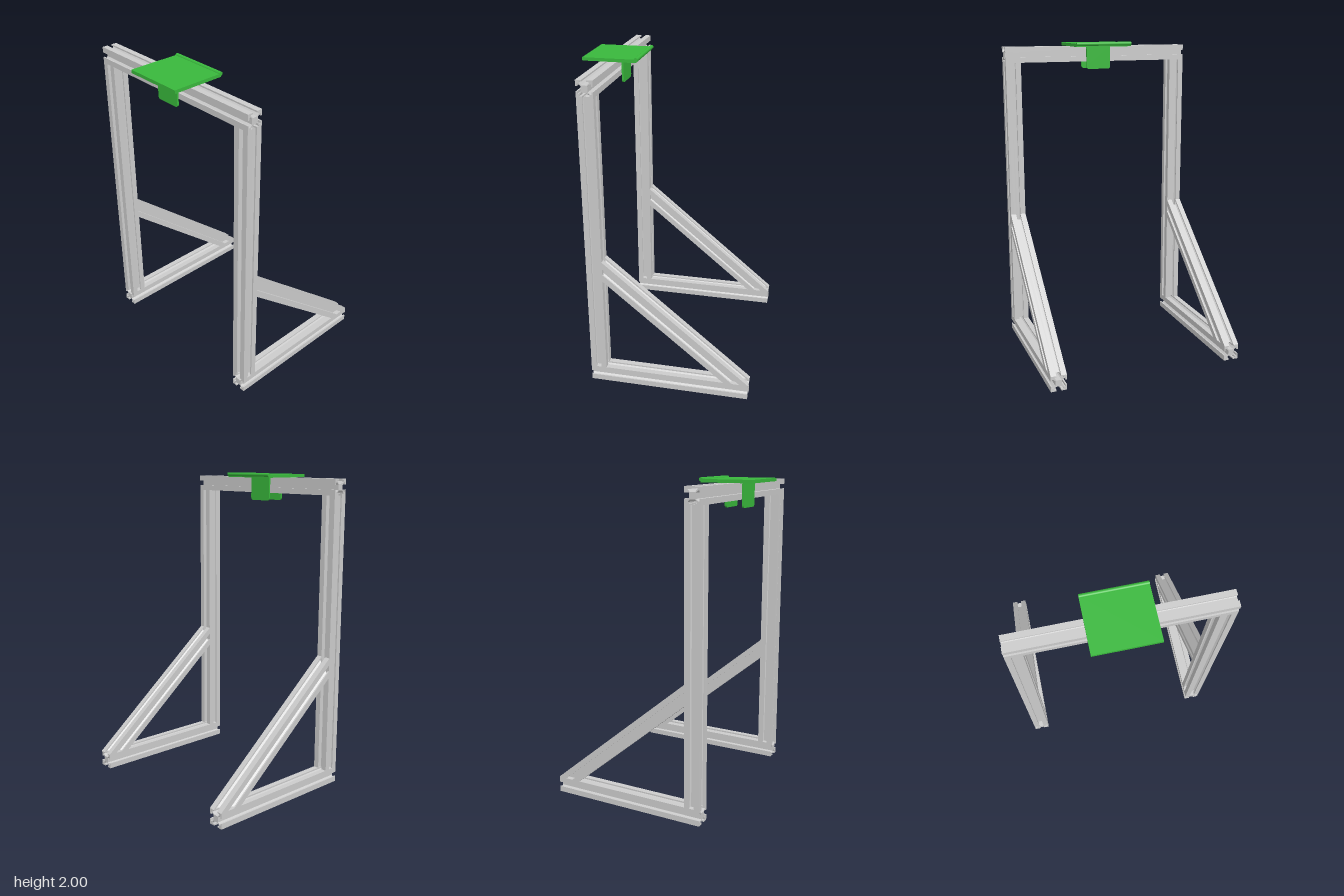
import * as THREE from 'three';

const grey = new THREE.MeshStandardMaterial({ color: 0xcccccc });
const green = new THREE.MeshStandardMaterial({ color: 0x39b83c });

// Square T-slot section, 0.1 wide: one quarter outline repeated four times
function slotSection() {
  const quarter = [
    [0.05, -0.05], [0.05, -0.015], [0.041, -0.015], [0.041, -0.029], [0.034, -0.029], [0.02, -0.016],
    [0.02, 0.016], [0.034, 0.029], [0.041, 0.029], [0.041, 0.015], [0.05, 0.015],
  ];
  const points = [];
  for (let i = 0; i < 4; i++) {
    const c = [1, 0, -1, 0][i], s = [0, 1, 0, -1][i];
    for (const [x, y] of quarter) points.push(new THREE.Vector2(x * c - y * s, x * s + y * c));
  }
  return new THREE.Shape(points);
}

// Slotted bar between two points; cut0 and cut1 slope its end faces for mitres
function bar(name, from, to, side, cut0 = 0, cut1 = 0) {
  const a = new THREE.Vector3(...from), b = new THREE.Vector3(...to);
  const length = a.distanceTo(b);
  const geo = new THREE.ExtrudeGeometry(slotSection(), { depth: length, bevelEnabled: false });
  const p = geo.attributes.position;
  for (let i = 0; i < p.count; i++) {
    const end = p.getZ(i) > length / 2;
    p.setZ(i, p.getZ(i) + p.getX(i) * (end ? cut1 : cut0));
  }
  const d = b.clone().sub(a).normalize();
  const v = new THREE.Vector3(...side);
  const u = v.clone().cross(d);
  geo.applyMatrix4(new THREE.Matrix4().makeBasis(u, v, d).setPosition(a));
  geo.computeVertexNormals();
  const mesh = new THREE.Mesh(geo, grey);
  mesh.name = name;
  return mesh;
}

// Base, post and mitred brace of one side
function sideFrame(name, z) {
  const g = new THREE.Group();
  g.name = name;
  const side = [0, 0, 1];
  const slope = 0.695 / 0.832;
  g.add(
    bar('baseRail', [-0.45, 0.05, z], [0.557, 0.05, z], side),
    bar('post', [-0.4, 0.1, z], [-0.4, 1.87, z], side),
    bar('diagonalBrace', [-0.35, 0.795, z], [0.482, 0.1, z], side, -slope, 1 / slope),
  );
  return g;
}

// Clip-on tray: plate with a rounded lip and two legs gripping the beam
function tray() {
  const g = new THREE.Group();
  g.name = 'tray';
  const add = (name, geo, x, y, z) => {
    const m = new THREE.Mesh(geo, green);
    m.name = name;
    m.position.set(x, y, z);
    g.add(m);
    return m;
  };
  add('trayPlate', new THREE.BoxGeometry(0.33, 0.02, 0.38), -0.395, 1.98, 0);
  add('trayLip', new THREE.CylinderGeometry(0.012, 0.012, 0.38, 24), -0.23, 1.988, 0).rotation.x = Math.PI / 2;

  // Leg outline with rounded lower corners
  const w = 0.083, h = 0.15, r = 0.018;
  const s = new THREE.Shape();
  s.moveTo(w, 0);
  s.lineTo(-w, 0);
  s.lineTo(-w, -h + r);
  s.quadraticCurveTo(-w, -h, -w + r, -h);
  s.lineTo(w - r, -h);
  s.quadraticCurveTo(w, -h, w, -h + r);
  const leg = new THREE.ExtrudeGeometry(s, { depth: 0.012, bevelEnabled: false, curveSegments: 6 });
  leg.rotateY(Math.PI / 2);
  add('backLeg', leg, -0.462, 1.97, 0);
  add('frontLeg', leg, -0.35, 1.97, 0);
  return g;
}

export function createModel() {
  const model = new THREE.Group();
  model.name = 'slottedFrameStand';
  model.add(
    sideFrame('leftFrame', 0.58),
    sideFrame('rightFrame', -0.58),
    bar('topBeam', [-0.4, 1.92, -0.63], [-0.4, 1.92, 0.63], [0, 1, 0]),
    tray(),
  );
  return model;
}
